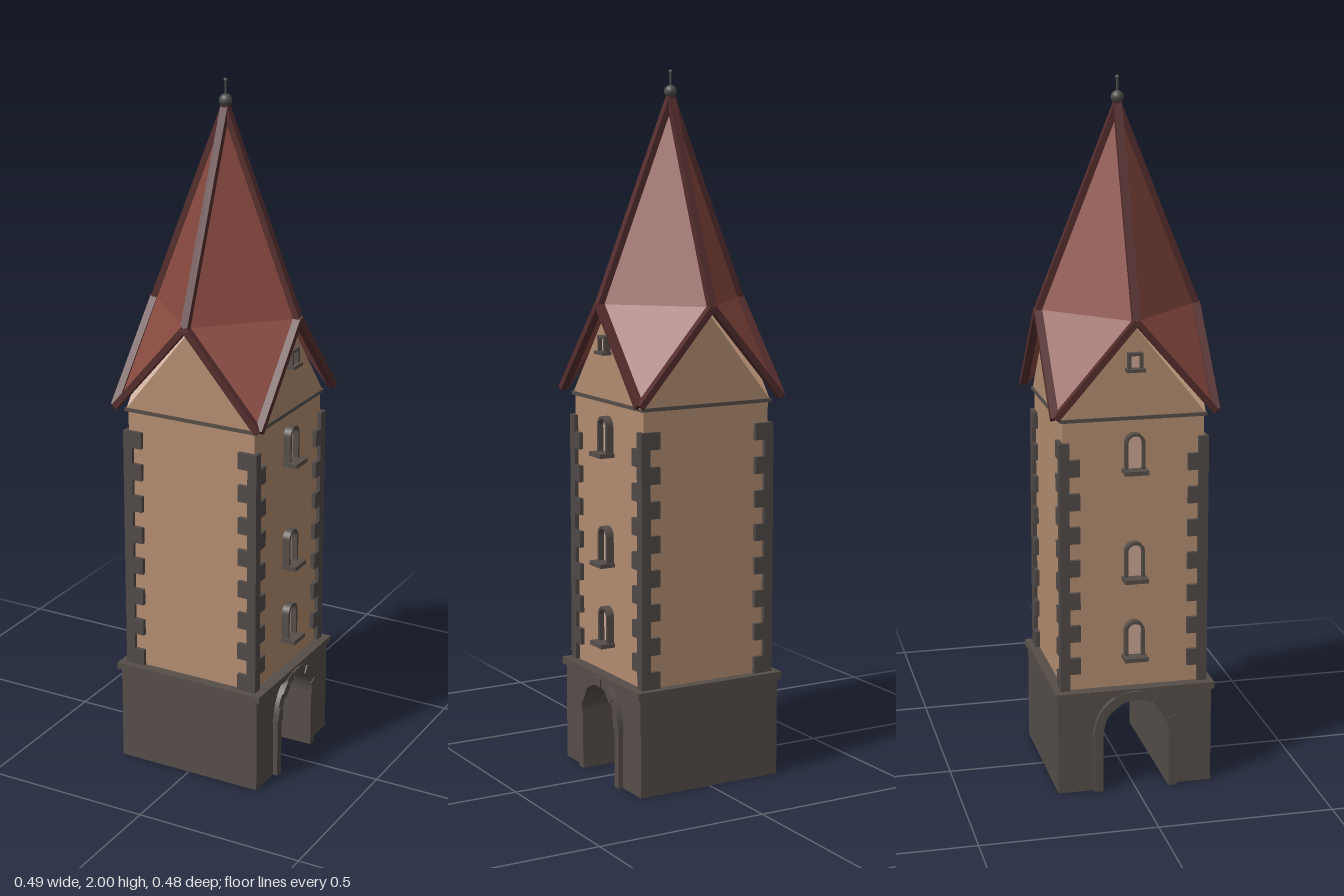
import * as THREE from 'three';

const mat = (name, color) => {
  const m = new THREE.MeshStandardMaterial({ color });
  m.name = name;
  return m;
};

export function createModel() {
  const plaster = mat('tan plaster', 0xb28c70);
  const stone = mat('dark stone', 0x554d48);
  const quoinStone = mat('grey quoin stone', 0x504a47);
  const tile = mat('red roof tile', 0x88493f);
  tile.side = THREE.DoubleSide;
  const trim = mat('dark red trim', 0x552d2d);
  const pane = mat('pale window pane', 0xc8a692);
  const metal = mat('finial metal', 0x4c4d49);

  const tower = new THREE.Group();
  tower.name = 'gateTower';

  const add = (parent, name, geo, material, x = 0, y = 0, z = 0) => {
    const m = new THREE.Mesh(geo, material);
    m.name = name;
    m.position.set(x, y, z);
    parent.add(m);
    return m;
  };
  const box = (parent, name, material, w, h, d, x, y, z) =>
    add(parent, name, new THREE.BoxGeometry(w, h, d), material, x, y, z);
  const extrude = (shape, depth) =>
    new THREE.ExtrudeGeometry(shape, { depth, bevelEnabled: false, curveSegments: 16 });

  // Outline of a round-headed opening: half width r, foot y0, springing y1
  const archPath = (r, y0, y1, Type = THREE.Shape) => {
    const p = new Type();
    p.moveTo(-r, y0);
    p.lineTo(r, y0);
    p.lineTo(r, y1);
    p.absarc(0, y1, r, 0, Math.PI, false);
    p.lineTo(-r, y0);
    return p;
  };

  // Stone base with a vaulted passage running along x
  const B = 0.223, R = 0.095, SPRING = 0.175;
  const baseShape = new THREE.Shape();
  baseShape.moveTo(-B, 0);
  baseShape.lineTo(-R, 0);
  baseShape.lineTo(-R, SPRING);
  baseShape.absarc(0, SPRING, R, Math.PI, 0, true);
  baseShape.lineTo(R, 0);
  baseShape.lineTo(B, 0);
  baseShape.lineTo(B, 0.3);
  baseShape.lineTo(-B, 0.3);
  const baseGeo = extrude(baseShape, 2 * B).translate(0, 0, -B).rotateY(Math.PI / 2);
  add(tower, 'base', baseGeo, stone);
  box(tower, 'baseCornice', stone, 0.468, 0.02, 0.46, 0, 0.292, 0);

  // Plastered shaft and the thin string course under the gables
  box(tower, 'shaft', plaster, 0.4, 0.79, 0.4, 0, 0.695, 0);
  box(tower, 'stringCourse', stone, 0.416, 0.01, 0.416, 0, 1.085, 0);

  // Corner quoins, alternating long and short
  const rows = 15, rowH = 0.048, Q = 0.212;
  for (let i = 0; i < rows; i++) {
    const lx = i % 2 ? 0.028 : 0.058, lz = i % 2 ? 0.058 : 0.028;
    for (const sx of [-1, 1]) for (const sz of [-1, 1]) {
      box(tower, 'quoin', quoinStone, lx, rowH, lz,
        sx * (Q - lx / 2), 0.303 + (i + 0.5) * rowH, sz * (Q - lz / 2));
    }
  }

  // Gate sides: arch surround and windows, modelled facing +z then turned to +x and -x
  for (const s of [-1, 1]) {
    const side = new THREE.Group();
    side.name = s > 0 ? 'leftSide' : 'rightSide';
    side.rotation.y = s * Math.PI / 2;
    tower.add(side);

    // Voussoirs and jambs
    const n = 9;
    for (let i = 0; i < n; i++) {
      const a0 = Math.PI * i / n, a1 = Math.PI * (i + 1) / n;
      const v = new THREE.Shape();
      v.absarc(0, SPRING, R + 0.026, a0, a1, false);
      v.absarc(0, SPRING, R, a1, a0, true);
      add(side, 'voussoir', extrude(v, 0.03), stone, 0, 0, i % 2 ? 0.207 : 0.211);
    }
    for (const j of [-1, 1]) {
      box(side, 'jamb', stone, 0.025, SPRING, 0.03, j * (R + 0.0125), SPRING / 2, 0.222);
      box(side, 'impost', stone, 0.029, 0.012, 0.032, j * (R + 0.0145), SPRING, 0.223);
    }

    // Round-headed windows
    for (const y of [0.385, 0.617, 0.93]) {
      const win = new THREE.Group();
      win.name = 'window';
      win.position.set(0, y, 0.2);
      side.add(win);
      const frame = archPath(0.028, 0.01, 0.086);
      frame.holes.push(archPath(0.02, 0.012, 0.086, THREE.Path));
      add(win, 'windowFrame', extrude(frame, 0.022), stone);
      add(win, 'windowPane', extrude(archPath(0.021, 0.01, 0.086), 0.006), pane);
      box(win, 'windowSill', stone, 0.068, 0.012, 0.045, 0, 0.006, 0.0225);
    }

    // Small square gable window
    const attic = new THREE.Group();
    attic.name = 'gableWindow';
    attic.position.set(0, 1.245, 0.205);
    side.add(attic);
    box(attic, 'gablePane', pane, 0.03, 0.034, 0.008, 0, 0, 0.003);
    for (const j of [-1, 1]) {
      box(attic, 'gableFrame', stone, 0.008, 0.048, 0.02, j * 0.017, 0, 0.008);
    }
    box(attic, 'gableLintel', stone, 0.042, 0.008, 0.02, 0, 0.021, 0.008);
    box(attic, 'gableSill', stone, 0.052, 0.009, 0.028, 0, -0.023, 0.012);
  }

  // Crossing gable walls
  const gable = new THREE.Shape();
  gable.moveTo(-0.204, 1.088);
  gable.lineTo(0.204, 1.088);
  gable.lineTo(0, 1.343);
  for (let k = 0; k < 2; k++) {
    add(tower, 'gableWalls', extrude(gable, 0.408).translate(0, 0, -0.204)
      .rotateY(k * Math.PI / 2), plaster);
  }

  // Helm roof: four identical quarters
  const E = 0.225;
  const apex = new THREE.Vector3(0, 1.925, 0);
  const peak = new THREE.Vector3(0, 1.358, E);
  const peak2 = new THREE.Vector3(E, 1.358, 0);
  const corner = new THREE.Vector3(E, 1.092, E);

  // Beam from a to b; n is the rough direction its broad face looks to
  const beam = (parent, name, a, b, height, depth, n) => {
    const d = b.clone().sub(a), len = d.length();
    d.normalize();
    const up = n.clone().cross(d).normalize();
    const out = d.clone().cross(up);
    const m = add(parent, name, new THREE.BoxGeometry(len, height, depth), trim);
    m.quaternion.setFromRotationMatrix(new THREE.Matrix4().makeBasis(d, up, out));
    m.position.copy(a).add(b).multiplyScalar(0.5);
  };
  for (let k = 0; k < 4; k++) {
    const quarter = new THREE.Group();
    quarter.name = 'roofQuarter';
    quarter.rotation.y = k * Math.PI / 2;
    tower.add(quarter);
    const slope = new THREE.BufferGeometry().setFromPoints(
      [apex, peak, peak2, peak, corner, peak2]);
    slope.computeVertexNormals();
    add(quarter, 'roofSlope', slope, tile);
    const z = new THREE.Vector3(0, 0, 1);
    beam(quarter, 'ridge', apex, new THREE.Vector3(0, 1.35, 0.23), 0.022, 0.018, z);
    for (const s of [-1, 1]) {
      beam(quarter, 'bargeBoard', new THREE.Vector3(0, 1.358, 0.227),
        new THREE.Vector3(s * 0.225, 1.098, 0.227), 0.018, 0.022, z);
    }
  }

  // Finial
  add(tower, 'finialCollar', new THREE.CylinderGeometry(0.008, 0.014, 0.02, 16), metal, 0, 1.92, 0);
  add(tower, 'finialBall', new THREE.SphereGeometry(0.018, 20, 14), metal, 0, 1.94, 0);
  add(tower, 'finialRod', new THREE.CylinderGeometry(0.003, 0.003, 0.05, 8), metal, 0, 1.97, 0);
  add(tower, 'finialTip', new THREE.SphereGeometry(0.006, 12, 8), metal, 0, 1.994, 0);

  return tower;
}
